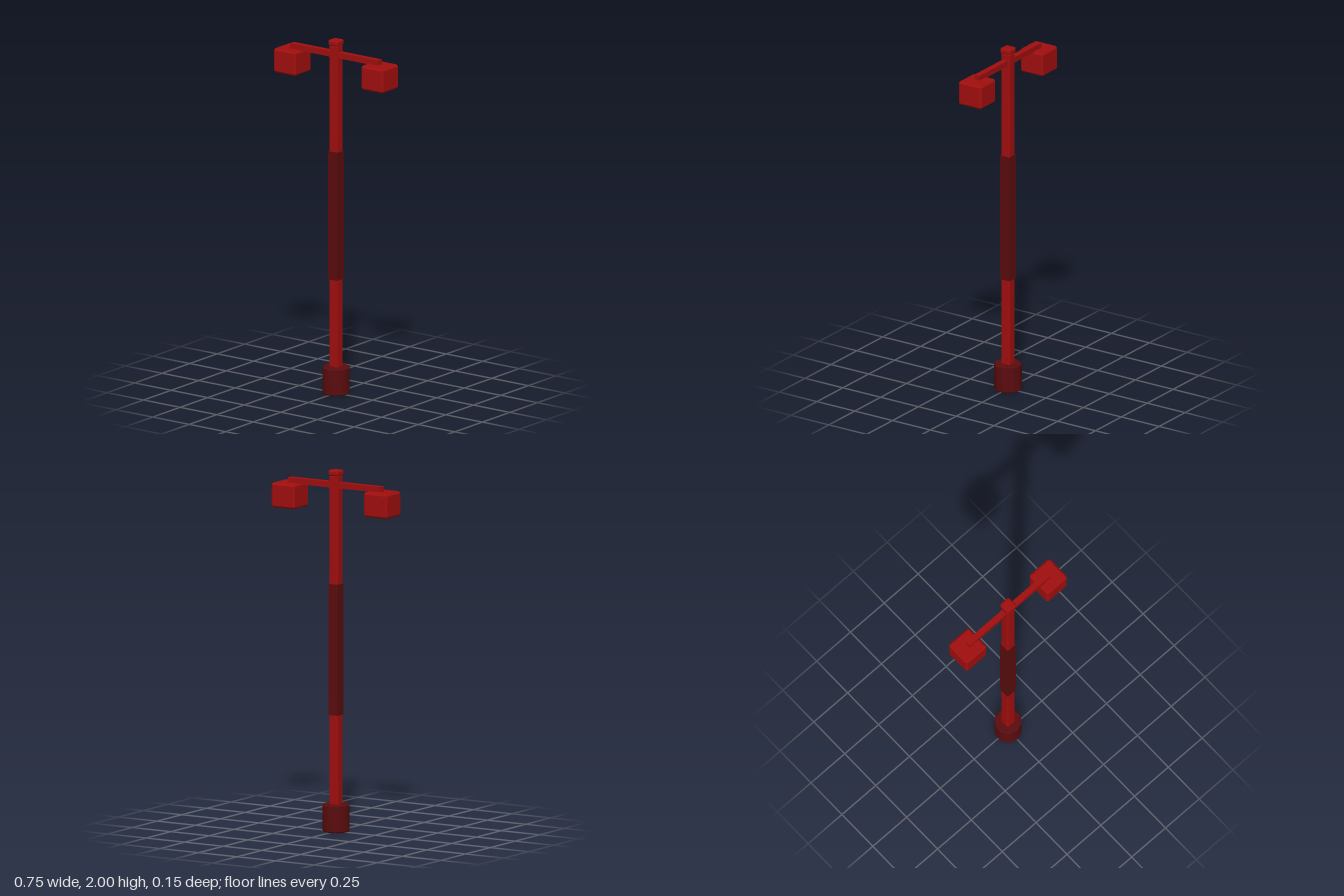
import * as THREE from 'three';
import { toCreasedNormals } from 'three/addons/utils/BufferGeometryUtils.js';
import { ConvexGeometry } from 'three/addons/geometries/ConvexGeometry.js';

// Box with every edge cut at 45 degrees: three points per corner
function chamferBox(w, h, d, c) {
  const points = [];
  for (const sx of [-1, 1]) for (const sy of [-1, 1]) for (const sz of [-1, 1]) {
    const x = w / 2, y = h / 2, z = d / 2;
    points.push(
      new THREE.Vector3(sx * x, sy * (y - c), sz * (z - c)),
      new THREE.Vector3(sx * (x - c), sy * y, sz * (z - c)),
      new THREE.Vector3(sx * (x - c), sy * (y - c), sz * z)
    );
  }
  return new ConvexGeometry(points);
}

export function createModel() {
  const model = new THREE.Group();
  model.name = 'streetLamp';

  const red = new THREE.MeshStandardMaterial({ color: 0xa00e0e });
  red.name = 'red paint';
  const darkRed = new THREE.MeshStandardMaterial({ color: 0x5a0c0e });
  darkRed.name = 'dark red paint';

  function add(name, geometry, material, x, y) {
    const mesh = new THREE.Mesh(geometry, material);
    mesh.name = name;
    mesh.position.set(x, y, 0);
    model.add(mesh);
  }

  // Ten-sided footing with softened rims
  const profile = [[0, 0], [0.07, 0], [0.076, 0.006], [0.076, 0.146], [0.07, 0.152], [0, 0.152]]
    .map(([r, y]) => new THREE.Vector2(r, y));
  add('base', toCreasedNormals(new THREE.LatheGeometry(profile, 10), 0.7), darkRed, 0, 0);

  // Square pole, the darker sleeve around its middle and the cap on top
  add('pole', chamferBox(0.056, 1.83, 0.056, 0.005), red, 0, 1.055);
  add('sleeve', new THREE.BoxGeometry(0.061, 0.725, 0.061), darkRed, 0, 1.0075);
  add('cap', chamferBox(0.066, 0.031, 0.066, 0.007), red, 0, 1.9845);

  // Crossbar carrying a lamp box at each end
  add('crossbar', new THREE.BoxGeometry(0.6, 0.032, 0.034), red, 0, 1.918);
  for (const side of [-1, 1]) {
    add(side > 0 ? 'leftLamp' : 'rightLamp', chamferBox(0.152, 0.137, 0.152, 0.011), red, side * 0.299, 1.8375);
  }

  return model;
}
